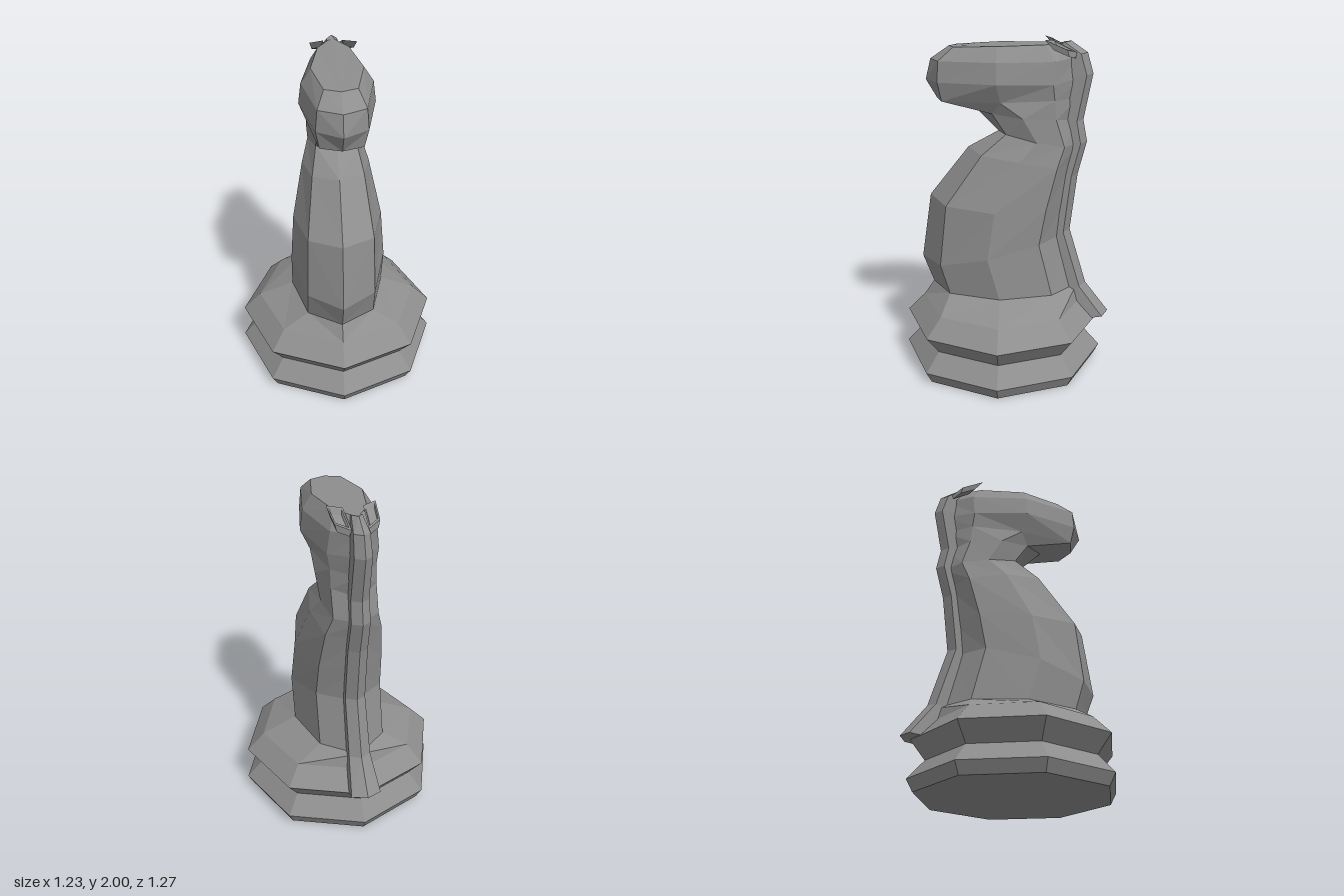
import * as THREE from 'three';

const material = new THREE.MeshStandardMaterial({ color: 0x8e8e8e, flatShading: true });

// Skin a stack of equal-length point rings (counter-clockwise from above), with end caps;
// the quads of the mirrored half are split along the mirrored diagonal
function loft(name, rings, capStart = true, capEnd = true) {
  const n = rings[0].length;
  const index = [];
  for (let r = 0; r < rings.length - 1; r++) {
    for (let i = 0; i < n; i++) {
      const a = r * n + i, b = r * n + (i + 1) % n;
      if (i < Math.floor(n / 2)) index.push(a, b, b + n, a, b + n, a + n);
      else index.push(a, b, a + n, b, b + n, a + n);
    }
  }
  const top = (rings.length - 1) * n;
  for (let i = 1; i < n - 1; i++) {
    if (capStart) index.push(0, i + 1, i);
    if (capEnd) index.push(top, top + i, top + i + 1);
  }
  const geometry = new THREE.BufferGeometry();
  geometry.setAttribute('position', new THREE.Float32BufferAttribute(rings.flat(2), 3));
  geometry.setIndex(index);
  const flat = geometry.toNonIndexed();
  flat.computeVertexNormals();
  const mesh = new THREE.Mesh(flat, material);
  mesh.name = name;
  return mesh;
}

const mirror = ([x, y, z]) => [-x, y, z];

// Octagonal foot mouldings: [radius, height]
function baseRings() {
  const profile = [[0.575, 0], [0.613, 0.07], [0.515, 0.18], [0.602, 0.29], [0.495, 0.4]];
  return profile.map(([r, y]) => Array.from({ length: 8 }, (_, i) => {
    const a = i * Math.PI / 4;
    return [r * Math.sin(a), y, 0.025 + r * Math.cos(a)];
  }));
}

// Lengthwise edge lines of the body and head, from foot to crown
function bodyRings() {
  const front = [[0.49, 0.46], [0.66, 0.525], [1.06, 0.465], [1.36, 0.23], [1.46, 0.05],
    [1.61, 0.2], [1.65, 0.41], [1.76, 0.475], [1.88, 0.445], [1.955, 0.335]];
  const frontCorner = [[0.2, 0.49, 0.335], [0.2, 0.67, 0.39], [0.19, 1.04, 0.35], [0.15, 1.34, 0.14], [0.12, 1.46, 0],
    [0.12, 1.58, 0.08], [0.12, 1.65, 0.37], [0.14, 1.76, 0.39], [0.13, 1.88, 0.385], [0.09, 1.955, 0.3]];
  const side = [[0.285, 0.49, 0.03], [0.285, 0.74, 0.1], [0.265, 1.02, 0.06], [0.2, 1.31, -0.08], [0.16, 1.42, -0.18],
    [0.17, 1.56, -0.1], [0.165, 1.65, 0.03], [0.215, 1.76, 0.05], [0.2, 1.88, 0.05], [0.145, 1.965, 0.05]];
  const backCorner = [[0.2, 0.49, -0.28], [0.2, 0.81, -0.2], [0.19, 1.03, -0.24], [0.165, 1.27, -0.3], [0.13, 1.39, -0.34],
    [0.13, 1.55, -0.29], [0.13, 1.66, -0.28], [0.145, 1.75, -0.27], [0.13, 1.88, -0.28], [0.09, 1.97, -0.22]];
  const back = [[0.49, -0.44], [0.82, -0.35], [1.04, -0.37], [1.27, -0.4], [1.39, -0.43],
    [1.53, -0.4], [1.66, -0.42], [1.78, -0.44], [1.9, -0.42], [1.975, -0.35]];
  return front.map((f, i) => {
    const half = [frontCorner[i], side[i], backCorner[i]];
    return [[0, ...f], ...half, [0, ...back[i]], ...half.map(mirror).reverse()];
  });
}

// Ridged mane down the back: [inner y, inner z, ridge y, ridge z, half width]
function maneRings() {
  const path = [[0.29, -0.5, 0.31, -0.635, 0.09], [0.46, -0.38, 0.5, -0.49, 0.065], [0.83, -0.29, 0.85, -0.385, 0.06],
    [1.2, -0.34, 1.2, -0.425, 0.058], [1.39, -0.375, 1.4, -0.475, 0.055], [1.53, -0.34, 1.53, -0.45, 0.052],
    [1.79, -0.37, 1.8, -0.5, 0.05], [1.9, -0.35, 1.92, -0.465, 0.045], [1.96, -0.3, 1.985, -0.37, 0.03]];
  return path.map(([yi, zi, yo, zo, w]) => {
    const half = [[w, yi, zi], [w, yo - 0.005, zo + 0.04]];
    return [...half, [0, yo, zo], ...half.map(mirror).reverse()];
  });
}

// Hollow, flared diamond-shaped ear tilted backwards
function earRings(sign) {
  const rim = [[0.055, 1.995, -0.26], [0.135, 2, -0.22], [0.122, 1.945, -0.345], [0.045, 1.925, -0.4]];
  const centre = [0.09, 1.966, -0.306];
  const ring = (scale, drop) => {
    const points = rim.map((p) => p.map((v, k) =>
      centre[k] + (v - centre[k]) * scale - (k === 1 ? drop : 0) - (k === 2 ? drop * 0.5 : 0)));
    return sign > 0 ? points : points.map(mirror).reverse();
  };
  return [ring(0.7, 0.045), ring(1, 0), ring(0.78, 0), ring(0.62, 0.02)];
}

export function createModel() {
  const group = new THREE.Group();
  group.name = 'chessKnight';
  const base = baseRings();
  const body = bodyRings();
  group.add(
    loft('base', base, true, false),
    loft('body', [base[base.length - 1], ...body], false, true),
    loft('mane', maneRings()),
    loft('leftEar', earRings(1)),
    loft('rightEar', earRings(-1)),
  );
  return group;
}
